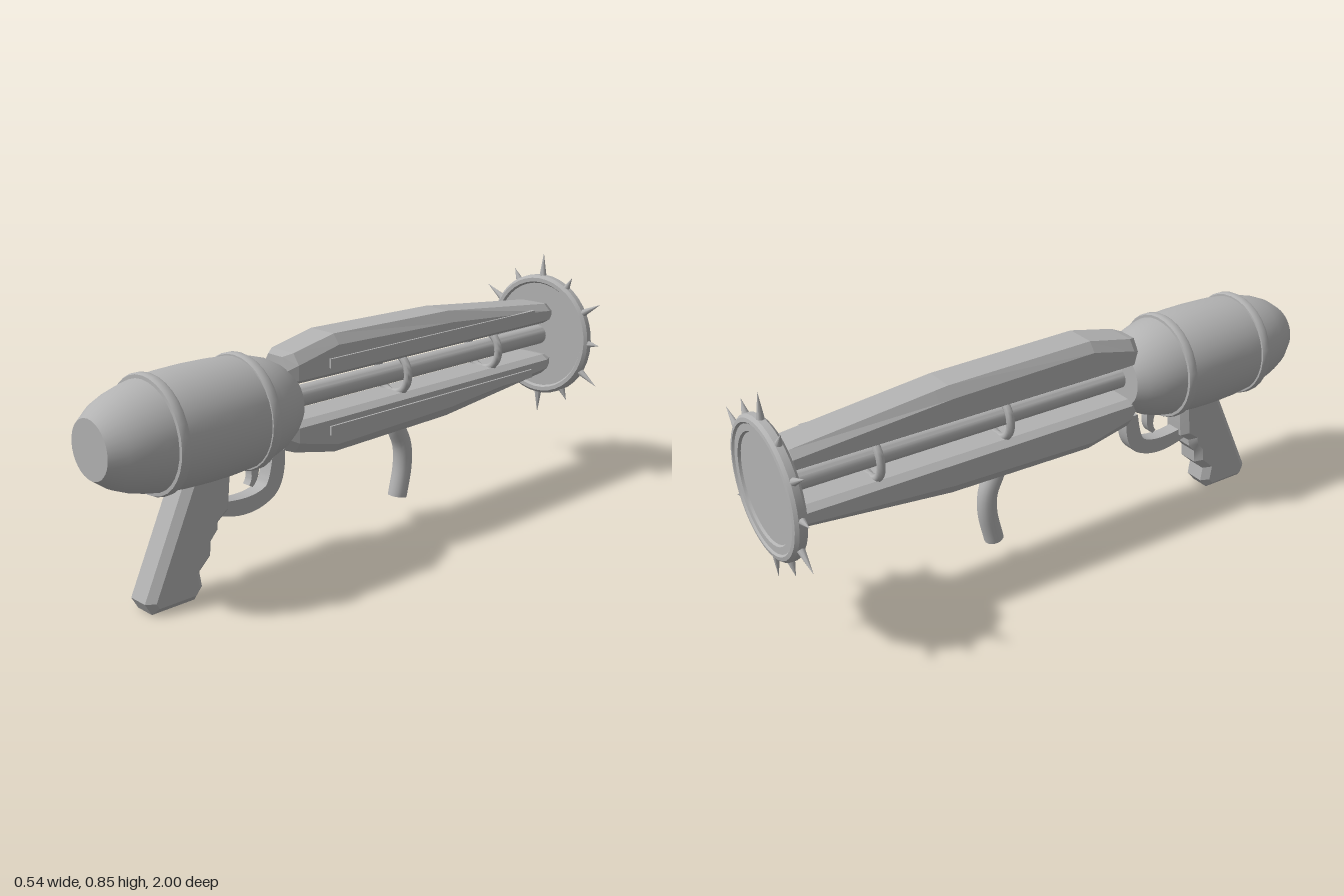
import * as THREE from 'three';
import { toCreasedNormals } from 'three/addons/utils/BufferGeometryUtils.js';

const AXIS = 0.54; // height of the barrel axis

export function createModel() {
  const model = new THREE.Group();
  const grey = new THREE.MeshStandardMaterial({ color: 0xb2b2b2 });
  grey.name = 'plain grey';

  function add(name, geometry, crease = 0.5) {
    const mesh = new THREE.Mesh(toCreasedNormals(geometry, crease), grey);
    mesh.name = name;
    model.add(mesh);
    return mesh;
  }

  // Solid of revolution about the z axis; points are [radius, z], z ascending
  function turned(name, points, segments = 32, crease = 0.5) {
    const g = new THREE.LatheGeometry(points.map(([r, z]) => new THREE.Vector2(r, z)), segments);
    g.rotateX(Math.PI / 2).translate(0, AXIS, 0);
    return add(name, g, crease);
  }

  // Side profile in (z, y), extruded across x with an optional inset bevel
  function sideProfile(name, shape, width, bevel = 0) {
    const depth = width - 2 * bevel;
    const g = new THREE.ExtrudeGeometry(shape, {
      depth, curveSegments: 10, bevelEnabled: bevel > 0, bevelSegments: 1,
      bevelSize: bevel, bevelThickness: bevel, bevelOffset: -bevel,
    });
    g.translate(0, 0, -depth / 2).rotateY(-Math.PI / 2);
    return add(name, g);
  }

  const polygon = (points) => new THREE.Shape(points.map(([z, y]) => new THREE.Vector2(z, y)));

  // Barrel-shaped body
  turned('body', [
    [0, 0.295], [0.1, 0.295], [0.125, 0.325], [0.15, 0.37], [0.165, 0.42], [0.174, 0.47],
    [0.18, 0.56], [0.181, 0.64], [0.178, 0.73], [0.171, 0.8], [0.162, 0.85], [0.148, 0.9],
    [0.127, 0.95], [0.091, 1], [0, 1],
  ]);

  // Raised bands around the body
  for (const [z, r] of [[0.47, 0.174], [0.8, 0.173]]) {
    turned('bodyBand', [
      [r - 0.01, z - 0.017], [r + 0.006, z - 0.016], [r + 0.01, z - 0.008],
      [r + 0.01, z + 0.008], [r + 0.006, z + 0.016], [r - 0.01, z + 0.017],
    ]);
  }

  // Central tube and its rings
  turned('centralTube', [[0, -0.965], [0.035, -0.965], [0.035, 0.31], [0, 0.31]], 20);
  for (const z of [-0.19, -0.65]) {
    add('tubeRing', new THREE.TorusGeometry(0.071, 0.014, 8, 32).translate(0, AXIS, z), 0.9);
  }

  // Chamfered beam: sections are [z, half width, bottom, lower edge, upper edge, top], from the axis
  function beamGeometry() {
    const sections = [
      [0.325, 0.058, 0.068, 0.078, 0.11, 0.15],
      [0.295, 0.076, 0.06, 0.076, 0.125, 0.16],
      [0.13, 0.078, 0.06, 0.076, 0.163, 0.195],
      [-0.4, 0.078, 0.06, 0.076, 0.15, 0.186],
      [-0.925, 0.078, 0.06, 0.076, 0.108, 0.131],
      [-0.965, 0.056, 0.07, 0.08, 0.1, 0.122],
    ];
    const positions = [], index = [], n = 8;
    for (const [z, w, bottom, low, high, top] of sections) {
      const t = w - 0.025;
      for (const [x, y] of [[t, bottom], [w, low], [w, high], [t, top],
        [-t, top], [-w, high], [-w, low], [-t, bottom]]) positions.push(x, y, z);
    }
    for (let s = 0; s < sections.length - 1; s++) {
      for (let i = 0; i < n; i++) {
        const a = s * n + i, b = s * n + (i + 1) % n;
        index.push(a, a + n, b, b, a + n, b + n);
      }
    }
    const last = (sections.length - 1) * n;
    for (let i = 1; i < n - 1; i++) {
      index.push(0, i, i + 1, last, last + i + 1, last + i);
    }
    const g = new THREE.BufferGeometry();
    g.setAttribute('position', new THREE.Float32BufferAttribute(positions, 3));
    g.setIndex(index);
    return g;
  }
  add('upperBeam', beamGeometry().translate(0, AXIS, 0), 0.05);
  add('lowerBeam', beamGeometry().rotateZ(Math.PI).translate(0, AXIS, 0), 0.05);

  // Thin strips on the left faces of the beams
  for (const side of [1, -1]) {
    add('beamStrip', new THREE.BoxGeometry(0.02, 0.03, 1)
      .translate(0.075, AXIS + side * 0.11, -0.33));
  }

  // Rear disc with raised rim
  turned('rearDisc', [
    [0, -0.986], [0.17, -0.986], [0.174, -0.994], [0.197, -0.994], [0.203, -1], [0.215, -0.998],
    [0.224, -0.988], [0.224, -0.967], [0.214, -0.957], [0.2, -0.957], [0.194, -0.966], [0, -0.966],
  ], 40);

  // Alternating long and short spikes around the disc
  for (let i = 0; i < 12; i++) {
    const tip = i % 2 ? 0.268 : 0.306, base = 0.215;
    const g = new THREE.ConeGeometry(0.014, tip - base, 8);
    g.translate(0, (tip + base) / 2, 0).rotateZ(i * Math.PI / 6).translate(0, AXIS, -0.977);
    add('spike', g, 0.9);
  }

  // Pistol grip with finger notches
  sideProfile('grip', polygon([
    [0.692, 0.42], [0.72, 0.36], [0.868, 0.04], [0.845, 0], [0.69, 0], [0.66, 0.035],
    [0.668, 0.085], [0.625, 0.125], [0.622, 0.17], [0.595, 0.2], [0.592, 0.225],
    [0.552, 0.255], [0.542, 0.36], [0.542, 0.42],
  ]), 0.116, 0.023);

  // Trigger guard
  const guard = new THREE.Shape();
  guard.moveTo(0.575, 0.235);
  guard.quadraticCurveTo(0.45, 0.19, 0.36, 0.245);
  guard.quadraticCurveTo(0.31, 0.28, 0.312, 0.39);
  guard.lineTo(0.362, 0.39);
  guard.quadraticCurveTo(0.375, 0.3, 0.395, 0.285);
  guard.quadraticCurveTo(0.45, 0.255, 0.575, 0.28);
  sideProfile('triggerGuard', guard, 0.05);

  // Trigger
  const trigger = new THREE.Shape();
  trigger.moveTo(0.46, 0.39);
  trigger.quadraticCurveTo(0.425, 0.33, 0.452, 0.3);
  trigger.lineTo(0.438, 0.292);
  trigger.quadraticCurveTo(0.4, 0.32, 0.415, 0.39);
  sideProfile('trigger', trigger, 0.03);

  // Curved front handle with a closed lower end
  const path = new THREE.CatmullRomCurve3([
    [0.4, -0.19], [0.345, -0.205], [0.275, -0.236], [0.2, -0.24], [0.09, -0.217],
  ].map(([y, z]) => new THREE.Vector3(0, y, z)));
  add('frontHandle', new THREE.TubeGeometry(path, 16, 0.033, 16), 0.7);
  const cap = new THREE.CircleGeometry(0.033, 16);
  cap.applyQuaternion(new THREE.Quaternion().setFromUnitVectors(
    new THREE.Vector3(0, 0, 1), path.getTangentAt(1)));
  add('frontHandleEnd', cap.translate(0, 0.09, -0.217));

  return model;
}
